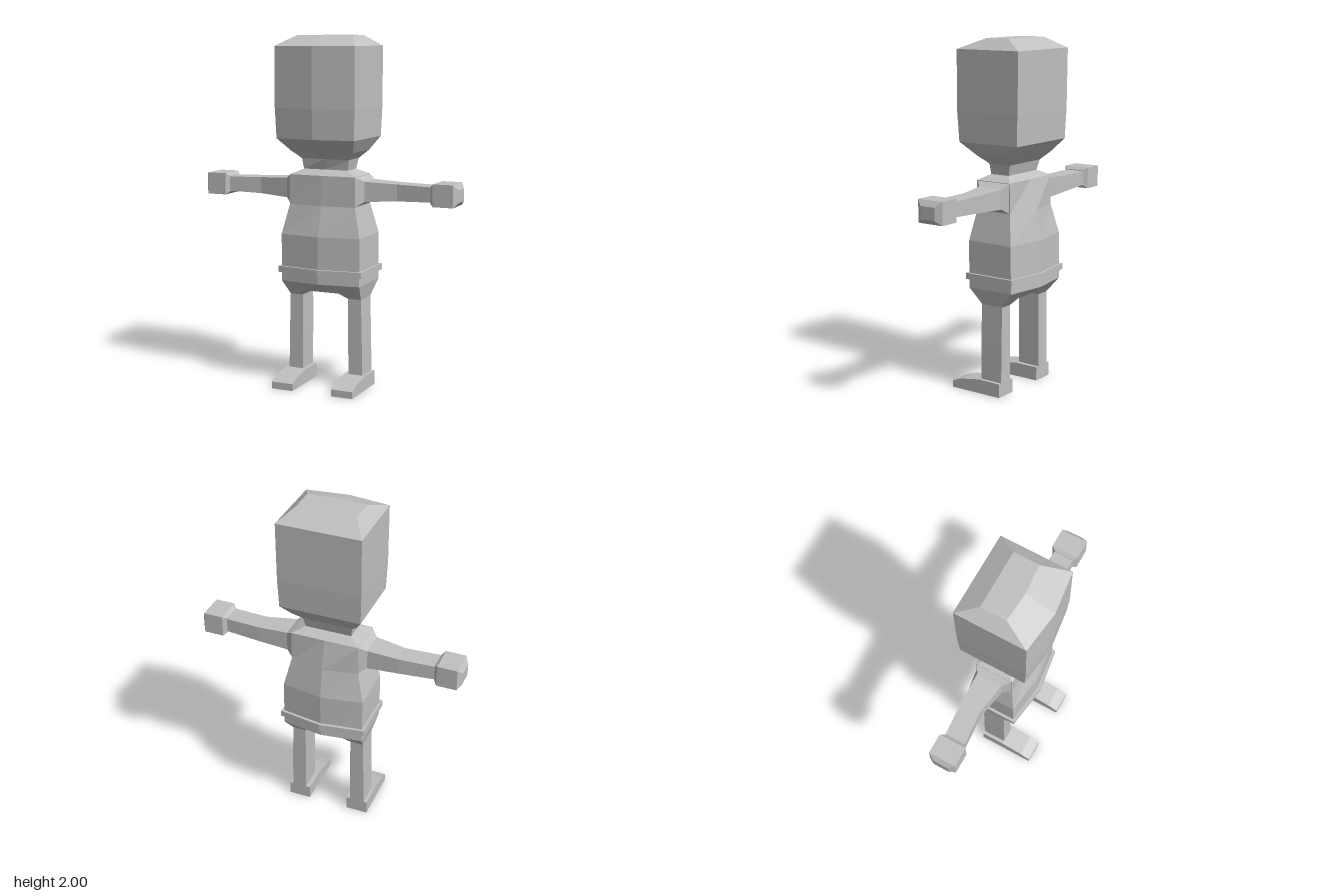
import * as THREE from 'three';

// Skin a stack of cross-sections; each ring runs along its front, then returns along its back.
function loft(rings) {
  const pos = [];
  const quad = (a, b, c, d) => pos.push(...a, ...b, ...c, ...a, ...c, ...d);
  const n = rings[0].length;
  for (let r = 0; r < rings.length - 1; r++) {
    const lo = rings[r], hi = rings[r + 1];
    for (let i = 0; i < n; i++) {
      const j = (i + 1) % n;
      quad(lo[i], lo[j], hi[j], hi[i]);
    }
  }
  const first = rings[0], last = rings[rings.length - 1];
  for (let i = 0; i < n / 2 - 1; i++) {
    quad(last[i], last[i + 1], last[n - 2 - i], last[n - 1 - i]);
    quad(first[n - 1 - i], first[n - 2 - i], first[i + 1], first[i]);
  }
  const g = new THREE.BufferGeometry();
  g.setAttribute('position', new THREE.Float32BufferAttribute(pos, 3));
  g.computeVertexNormals();
  return g;
}

// Six-point section with a ridge down the middle of front and back.
const ridged = ([y, w, frontMid, frontSide, backMid, backSide]) => [
  [-w, y, frontSide], [0, y, frontMid], [w, y, frontSide],
  [w, y, backSide], [0, y, backMid], [-w, y, backSide],
];

// Rectangular section across an arm.
const armSection = ([x, y0, y1, z0, z1]) => [[x, y1, z0], [x, y1, z1], [x, y0, z1], [x, y0, z0]];

// Rectangular section across a leg.
const legSection = ([y, x0, x1, z0, z1]) => [[x0, y, z1], [x1, y, z1], [x1, y, z0], [x0, y, z0]];

// Mirror sections to the other side, keeping the faces outward.
const mirror = (rings) => rings.map((ring) => ring.map(([x, y, z]) => [-x, y, z]).reverse());

export function createModel() {
  const model = new THREE.Group();
  const clay = new THREE.MeshStandardMaterial({ color: 0xc0c0c0 });
  clay.name = 'plainGrey';

  const add = (name, rings) => {
    const mesh = new THREE.Mesh(loft(rings), clay);
    mesh.name = name;
    model.add(mesh);
  };
  const addPair = (name, rings) => {
    add(name + 'Left', rings);
    add(name + 'Right', mirror(rings));
  };

  // Head and neck: y, half width, front middle, front side, back middle, back side
  add('head', [
    [1.25, 0.135, 0.035, 0.035, -0.085, -0.085],
    [1.31, 0.145, 0.05, 0.04, -0.10, -0.10],
    [1.355, 0.19, 0.11, 0.09, -0.145, -0.145],
    [1.43, 0.235, 0.21, 0.18, -0.21, -0.21],
    [1.60, 0.24, 0.22, 0.19, -0.217, -0.217],
    [1.94, 0.24, 0.22, 0.19, -0.222, -0.222],
    [2.00, 0.168, 0.053, 0.04, -0.107, -0.107],
  ].map(ridged));

  // Torso
  add('torso', [
    [0.61, 0.24, 0.145, 0.113, -0.21, -0.175],
    [0.88, 0.24, 0.145, 0.113, -0.21, -0.172],
    [1.05, 0.20, 0.095, 0.085, -0.18, -0.14],
    [1.22, 0.20, 0.09, 0.085, -0.14, -0.138],
    [1.25, 0.135, 0.035, 0.035, -0.085, -0.085],
  ].map(ridged));

  // Belt
  add('belt', [
    [0.66, 0.255, 0.162, 0.125, -0.227, -0.188],
    [0.695, 0.255, 0.162, 0.125, -0.227, -0.188],
  ].map(ridged));

  // Pelvis tapering into the two leg tops, with an arch between
  const hipRing = (columns, frontZ, backZ) => [
    ...columns.map(([x, y]) => [x, y, frontZ(Math.abs(x))]),
    ...columns.map(([x, y]) => [x, y, backZ(Math.abs(x))]).reverse(),
  ];
  const archHalf = [[0.09, 0.55], [0.142, 0.52], [0.22, 0.52]];
  const waistHalf = [[0.10, 0.61], [0.16, 0.61], [0.24, 0.61]];
  const across = (half, middleY) =>
    [...half.map(([x, y]) => [-x, y]).reverse(), [0, middleY], ...half];
  add('pelvis', [
    hipRing(across(archHalf, 0.55), (x) => (x < 0.1 ? 0.06 : 0.04), (x) => (x < 0.1 ? -0.12 : -0.10)),
    hipRing(across(waistHalf, 0.61), (x) => 0.145 - x * 0.133, (x) => -0.21 + x * 0.146),
  ]);

  // Arms: x, bottom, top, back, front
  addPair('arm', [
    [0.195, 1.05, 1.22, -0.138, 0.085],
    [0.24, 1.08, 1.193, -0.11, 0.04],
    [0.42, 1.09, 1.184, -0.107, 0.01],
    [0.63, 1.097, 1.18, -0.092, 0.027],
  ].map(armSection));

  // Blocky hands
  addPair('hand', [
    [0.62, 1.093, 1.184, -0.09, 0.025],
    [0.64, 1.075, 1.2, -0.115, 0.045],
    [0.755, 1.075, 1.2, -0.115, 0.045],
    [0.777, 1.10, 1.17, -0.08, 0.012],
  ].map(armSection));

  // Legs: y, inner x, outer x, back, front
  addPair('leg', [
    [0.07, 0.145, 0.23, -0.10, 0.04],
    [0.30, 0.142, 0.226, -0.10, 0.04],
    [0.525, 0.142, 0.22, -0.10, 0.04],
  ].map(legSection));

  // Feet: wedge sections from sole to sloped top, stacked from heel to toe
  const footSection = ([z, top]) => [[0.12, 0, z], [0.25, 0, z], [0.25, top, z], [0.12, top, z]];
  addPair('foot', [
    [-0.10, 0.08], [0.04, 0.082], [0.17, 0.062], [0.23, 0.04],
  ].map(footSection));

  return model;
}
